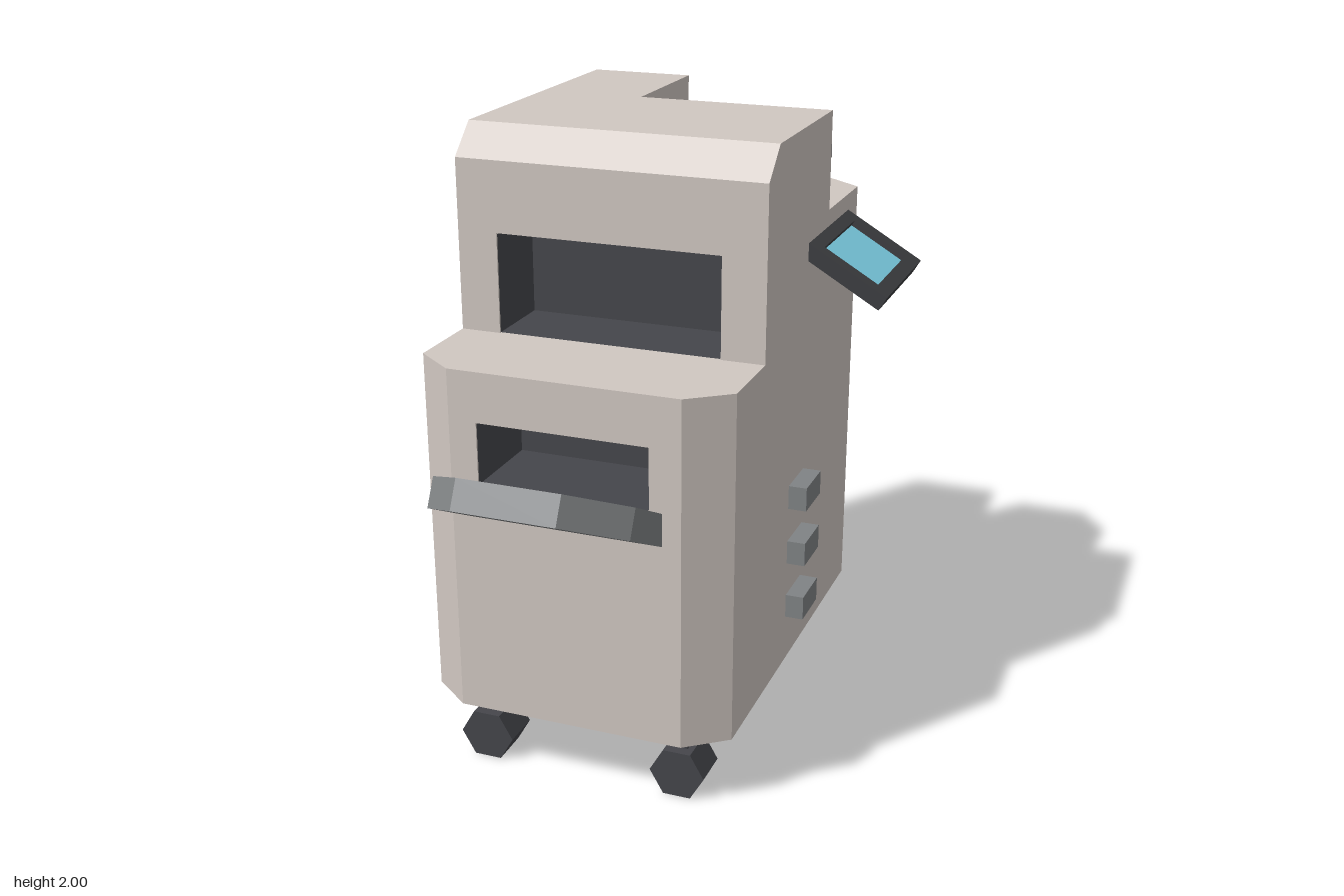
import * as THREE from 'three';

const paint = (color) => new THREE.MeshStandardMaterial({ color, flatShading: true });

export function createModel() {
  const model = new THREE.Group();
  const shell = paint(0xd0c7c1), dark = paint(0x45464b), grey = paint(0x808385);
  const black = paint(0x3c3d40), glass = paint(0x7ccde2);

  const add = (name, geometry, material, x = 0, y = 0, z = 0, parent = model) => {
    const mesh = new THREE.Mesh(geometry, material);
    mesh.name = name;
    mesh.position.set(x, y, z);
    parent.add(mesh);
    return mesh;
  };
  const outline = (points) => new THREE.Shape(points.map(([x, y]) => new THREE.Vector2(x, y)));
  const extrude = (shape, depth) => new THREE.ExtrudeGeometry(shape, { depth, bevelEnabled: false });

  // Cabinet: floor plans [x, z] stacked in layers, with notches where the bays open
  const layer = (name, plan, y0, y1) => {
    const g = extrude(outline(plan.map(([x, z]) => [x, -z])), y1 - y0);
    g.rotateX(-Math.PI / 2);
    add(name, g, shell, 0, y0, 0);
  };
  const back = [[0.37, -0.83], [0.24, -0.93], [-0.63, -0.93]];
  const cutBack = [[0.37, -0.48], [-0.28, -0.48], [-0.28, -0.93], [-0.63, -0.93]];
  const slotBack = [[0.37, -0.48], [0.29, -0.48], [0.29, -0.23], [-0.22, -0.23], [-0.22, -0.48],
    ...cutBack.slice(1)];
  const lowerFront = [[-0.63, 0.43], [-0.5, 0.53], [0.24, 0.53], [0.37, 0.43]];
  const lowerBay = [[-0.63, 0.43], [-0.5, 0.53], [-0.41, 0.53], [-0.41, 0.23], [0.14, 0.23],
    [0.14, 0.53], [0.24, 0.53], [0.37, 0.43]];
  const upperFront = [[-0.63, 0.17], [0.37, 0.17]];
  const upperBay = [[-0.63, 0.17], [-0.5, 0.17], [-0.5, -0.08], [0.23, -0.08], [0.23, 0.17], [0.37, 0.17]];
  const topFront = [[-0.63, 0.07], [0.37, 0.07]];
  layer('lowerCabinet', [...lowerFront, ...back], 0.23, 1.0);
  layer('lowerBaySurround', [...lowerBay, ...back], 1.0, 1.2);
  layer('shoulder', [...lowerFront, ...back], 1.2, 1.36);
  layer('upperBaySurround', [...upperBay, ...back], 1.36, 1.68);
  layer('upperCabinet', [...upperFront, ...cutBack], 1.68, 1.81);
  layer('rearSlotSurround', [...upperFront, ...slotBack], 1.81, 1.905);
  layer('topCabinet', [...topFront, ...cutBack], 1.905, 2);

  // Sloped front edge of the top
  const wedge = extrude(outline([[-0.07, 1.905], [-0.07, 2], [-0.17, 1.905]]), 1);
  wedge.rotateY(Math.PI / 2);
  add('topBevel', wedge, shell, -0.63, 0, 0);

  // Dark bay linings: inward-facing boxes open at the mouth (local +z)
  const lining = (name, x0, x1, y0, y1, mouthZ, depth, dir) => {
    const e = 0.003;
    const g = new THREE.BoxGeometry(x1 - x0 - 2 * e, y1 - y0 - 2 * e, depth - e);
    const idx = Array.from(g.index.array);
    idx.splice(24, 6);
    g.setIndex(idx.reverse());
    g.computeVertexNormals();
    const m = add(name, g, dark, (x0 + x1) / 2, (y0 + y1) / 2, mouthZ - dir * (depth - e) / 2);
    if (dir < 0) m.rotation.y = Math.PI;
  };
  lining('lowerBayLining', -0.41, 0.14, 1.0, 1.2, 0.53, 0.3, 1);
  lining('upperBayLining', -0.5, 0.23, 1.36, 1.68, 0.17, 0.25, 1);
  lining('rearSlotLining', -0.22, 0.29, 1.81, 1.905, -0.48, 0.25, -1);

  // Sloping paper trays with clipped outer corners
  const tray = (name, width, endWidth, shoulder, length, angle, x, y, z, turn) => {
    const w = width / 2, e = endWidth / 2;
    const g = extrude(outline([[-w, -0.06], [w, -0.06], [w, shoulder], [e, length],
      [-e, length], [-w, shoulder]]), 0.094);
    g.rotateX(Math.PI / 2 - angle);
    add(name, g, grey, x, y, z).rotation.y = turn;
  };
  tray('frontTray', 0.63, 0.32, 0.225, 0.394, Math.atan2(0.18, 0.35), -0.135, 1.0, 0.53, 0);
  tray('rearTray', 0.51, 0.26, 0.289, 0.432, Math.atan2(0.1, 0.42), 0.035, 1.81, -0.48, Math.PI);

  // Tilted control panel on the left side
  const panel = new THREE.Group();
  panel.name = 'controlPanel';
  panel.position.set(0.37, 1.625, -0.487);
  panel.rotation.z = -0.532;
  model.add(panel);
  const frame = outline([[-0.06, -0.232], [0.297, -0.232], [0.297, 0.232], [-0.06, 0.232]]);
  frame.holes.push(outline([[0.043, -0.18], [0.043, 0.18], [0.248, 0.18], [0.248, -0.18]]));
  const frameGeometry = extrude(frame, 0.05);
  frameGeometry.rotateX(-Math.PI / 2);
  add('panelFrame', frameGeometry, black, 0, -0.05, 0, panel);
  add('screen', new THREE.BoxGeometry(0.205, 0.02, 0.36), glass, 0.1455, -0.03, 0, panel);
  add('panelBack', new THREE.BoxGeometry(0.205, 0.01, 0.36), black, 0.1455, -0.045, 0, panel);

  // Side handles
  for (const y of [0.43, 0.625, 0.82]) {
    add('sideHandle', new THREE.BoxGeometry(0.08, 0.08, 0.16), grey, 0.39, y, -0.19);
  }

  // Six-sided casters on short stems
  for (const x of [-0.46, 0.197]) {
    for (const z of [0.385, -0.775]) {
      const wheel = new THREE.CylinderGeometry(0.09, 0.09, 0.132, 6);
      wheel.rotateY(Math.PI / 6);
      wheel.rotateX(Math.PI / 2);
      wheel.rotateZ(Math.PI / 6 * (Math.abs(wheel.attributes.position.getX(0)) > 0.08 ? 0 : 1));
      wheel.computeBoundingBox();
      // Rest on a flat side
      if (wheel.boundingBox.max.y > 0.085) wheel.rotateZ(Math.PI / 6);
      add('casterWheel', wheel, dark, x, 0.078, z);
      add('casterStem', new THREE.BoxGeometry(0.05, 0.1, 0.066), dark, x, 0.19, z);
    }
  }
  return model;
}
